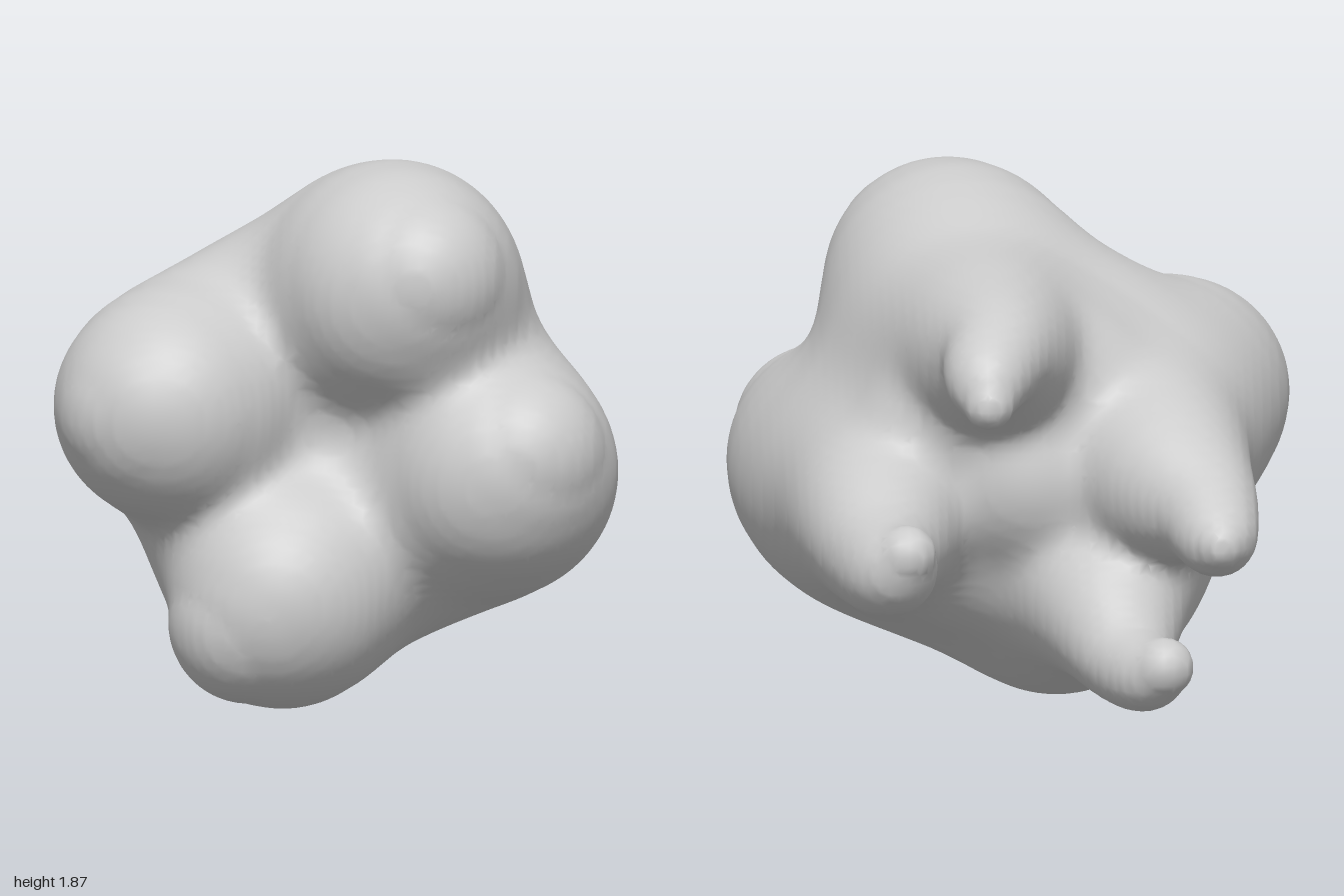
import * as THREE from 'three';

// Each lobe runs from cusp to root tip as a chain of balls: [x, y, z, radius]
const LOBES = [
  // top
  [[0.29, 1.51, 0.70, 0.295], [0.19, 1.435, 0.51, 0.435], [0.14, 1.35, 0.1, 0.39], [0.10, 1.39, -0.3, 0.30],
    [0.09, 1.44, -0.6, 0.195], [0.13, 1.40, -0.8, 0.145], [0.13, 1.33, -0.91, 0.085]],
  // right
  [[-0.67, 1.04, 0.72, 0.275], [-0.55, 1.04, 0.58, 0.405], [-0.45, 1.0, 0.1, 0.36], [-0.49, 0.96, -0.3, 0.30],
    [-0.61, 0.90, -0.6, 0.19], [-0.65, 0.84, -0.78, 0.14], [-0.66, 0.83, -0.87, 0.09]],
  // bottom
  [[-0.29, 0.31, 0.72, 0.275], [-0.17, 0.42, 0.58, 0.41], [-0.25, 0.56, 0.1, 0.385], [-0.30, 0.50, -0.3, 0.27],
    [-0.35, 0.38, -0.6, 0.16], [-0.41, 0.36, -0.76, 0.13], [-0.47, 0.40, -0.85, 0.10]],
  // left
  [[0.64, 0.90, 0.71, 0.285], [0.53, 0.81, 0.54, 0.425], [0.46, 0.80, 0.1, 0.38], [0.48, 0.80, -0.3, 0.29],
    [0.49, 0.75, -0.6, 0.20], [0.46, 0.74, -0.8, 0.16], [0.41, 0.81, -0.90, 0.10]],
];

// Core and the webs that fill the valleys between neighbouring lobes
const FILLS = [
  [[-0.02, 0.93, 0.22, 0.34], [-0.02, 0.93, -0.13, 0.31]],
  [[-0.20, 1.20, 0.26, 0.34], [-0.18, 1.22, -0.10, 0.25]],
  [[0.20, 0.62, 0.40, 0.33], [0.14, 0.66, 0.08, 0.28]],
  [[0.31, 1.10, 0.20, 0.22], [0.31, 1.10, -0.20, 0.20]],
  [[-0.36, 0.75, 0.20, 0.19], [-0.36, 0.75, -0.20, 0.18]],
];

// Smooth each chain and split it into short tapered segments
function makeSegments(balls) {
  const path = new THREE.CatmullRomCurve3(balls.map(b => new THREE.Vector3(b[0], b[1], b[2])), false, 'catmullrom');
  const girth = new THREE.SplineCurve(balls.map((b, i) => new THREE.Vector2(i, b[3])));
  const n = (balls.length - 1) * 5;
  const pts = [];
  for (let i = 0; i <= n; i++) pts.push({ p: path.getPoint(i / n), r: girth.getPoint(i / n).y });
  return pts.slice(1).map((b, i) => {
    const a = pts[i];
    const len = a.p.distanceTo(b.p);
    const slope = THREE.MathUtils.clamp((b.r - a.r) / len, -0.95, 0.95);
    return { a: a.p, dir: b.p.clone().sub(a.p).divideScalar(len), len, r: a.r, slope,
      lean: slope / Math.sqrt(1 - slope * slope) };
  });
}
const chains = [...LOBES, ...FILLS].map(makeSegments);

// Distance to a chain of round cones
function chainDistance(segments, x, y, z) {
  let best = Infinity;
  for (const s of segments) {
    const px = x - s.a.x, py = y - s.a.y, pz = z - s.a.z;
    const along = px * s.dir.x + py * s.dir.y + pz * s.dir.z;
    const side2 = Math.max(0, px * px + py * py + pz * pz - along * along);
    const u = Math.min(s.len, Math.max(0, along + s.lean * Math.sqrt(side2)));
    const dist = Math.sqrt(side2 + (along - u) * (along - u)) - s.r - s.slope * u;
    if (dist < best) best = dist;
  }
  return best;
}

// Lobes melt together softly around the body, more crisply at the cusps and roots
function field(x, y, z) {
  const k = 0.04 + 0.07 * THREE.MathUtils.smoothstep(z, -0.55, 0.25) - 0.05 * THREE.MathUtils.smoothstep(z, 0.35, 0.8);
  let sum = 0;
  for (const c of chains) sum += Math.exp(-chainDistance(c, x, y, z) / k);
  return -k * Math.log(sum);
}

// Pull a point onto the skin along the slope of the field
function settle(p) {
  const e = 0.006;
  for (let i = 0; i < 2; i++) {
    const g = new THREE.Vector3(
      field(p.x + e, p.y, p.z) - field(p.x - e, p.y, p.z),
      field(p.x, p.y + e, p.z) - field(p.x, p.y - e, p.z),
      field(p.x, p.y, p.z + e) - field(p.x, p.y, p.z - e)).divideScalar(2 * e);
    const step = field(p.x, p.y, p.z) / Math.max(g.lengthSq(), 0.3);
    p.addScaledVector(g, -THREE.MathUtils.clamp(step, -0.02, 0.02));
  }
  return p;
}

// Skin the field: one vertex per crossed cell, one quad per crossed edge
function skin(min, n, h) {
  const stride = [1, n, n * n];
  const values = new Float32Array(n * n * n);
  for (let k = 0, i = 0; k < n; k++)
    for (let j = 0; j < n; j++)
      for (let m = 0; m < n; m++) values[i++] = field(min.x + m * h, min.y + j * h, min.z + k * h);

  const positions = [], index = [], cellVertex = new Int32Array(n * n * n).fill(-1);
  const corner = (i, c) => i + (c & 1) + ((c >> 1) & 1) * n + (c >> 2) * n * n;
  for (let k = 0; k < n - 1; k++) for (let j = 0; j < n - 1; j++) for (let m = 0; m < n - 1; m++) {
    const i = m + j * n + k * n * n;
    const sum = new THREE.Vector3();
    let hits = 0;
    for (let c = 0; c < 8; c++) for (let axis = 0; axis < 3; axis++) {
      if (c & (1 << axis)) continue;
      const a = values[corner(i, c)], b = values[corner(i, c | (1 << axis))];
      if ((a < 0) === (b < 0)) continue;
      const at = [c & 1, (c >> 1) & 1, c >> 2];
      at[axis] += a / (a - b);
      sum.add(new THREE.Vector3(...at));
      hits++;
    }
    if (!hits) continue;
    sum.divideScalar(hits).add(new THREE.Vector3(m, j, k)).multiplyScalar(h).add(min);
    cellVertex[i] = positions.length / 3;
    positions.push(...settle(sum).toArray());
  }
  for (let k = 1; k < n - 1; k++) for (let j = 1; j < n - 1; j++) for (let m = 1; m < n - 1; m++) {
    const i = m + j * n + k * n * n;
    for (let axis = 0; axis < 3; axis++) {
      const inside = values[i] < 0;
      if (inside === (values[i + stride[axis]] < 0)) continue;
      const b = stride[(axis + 1) % 3], c = stride[(axis + 2) % 3];
      const q = [i - b - c, i - c, i, i - b].map(v => cellVertex[v]);
      if (!inside) q.reverse();
      index.push(q[0], q[1], q[2], q[0], q[2], q[3]);
    }
  }
  const geometry = new THREE.BufferGeometry();
  geometry.setAttribute('position', new THREE.Float32BufferAttribute(positions, 3));
  geometry.setIndex(index);
  geometry.computeVertexNormals();
  return geometry;
}

export function createModel() {
  const group = new THREE.Group();
  group.name = 'molarTooth';
  const tooth = new THREE.Mesh(
    skin(new THREE.Vector3(-1.15, -0.2, -1.15), 70, 0.0334),
    new THREE.MeshStandardMaterial({ color: 0xcccccc }));
  tooth.name = 'crownAndRoots';
  group.add(tooth);
  return group;
}
